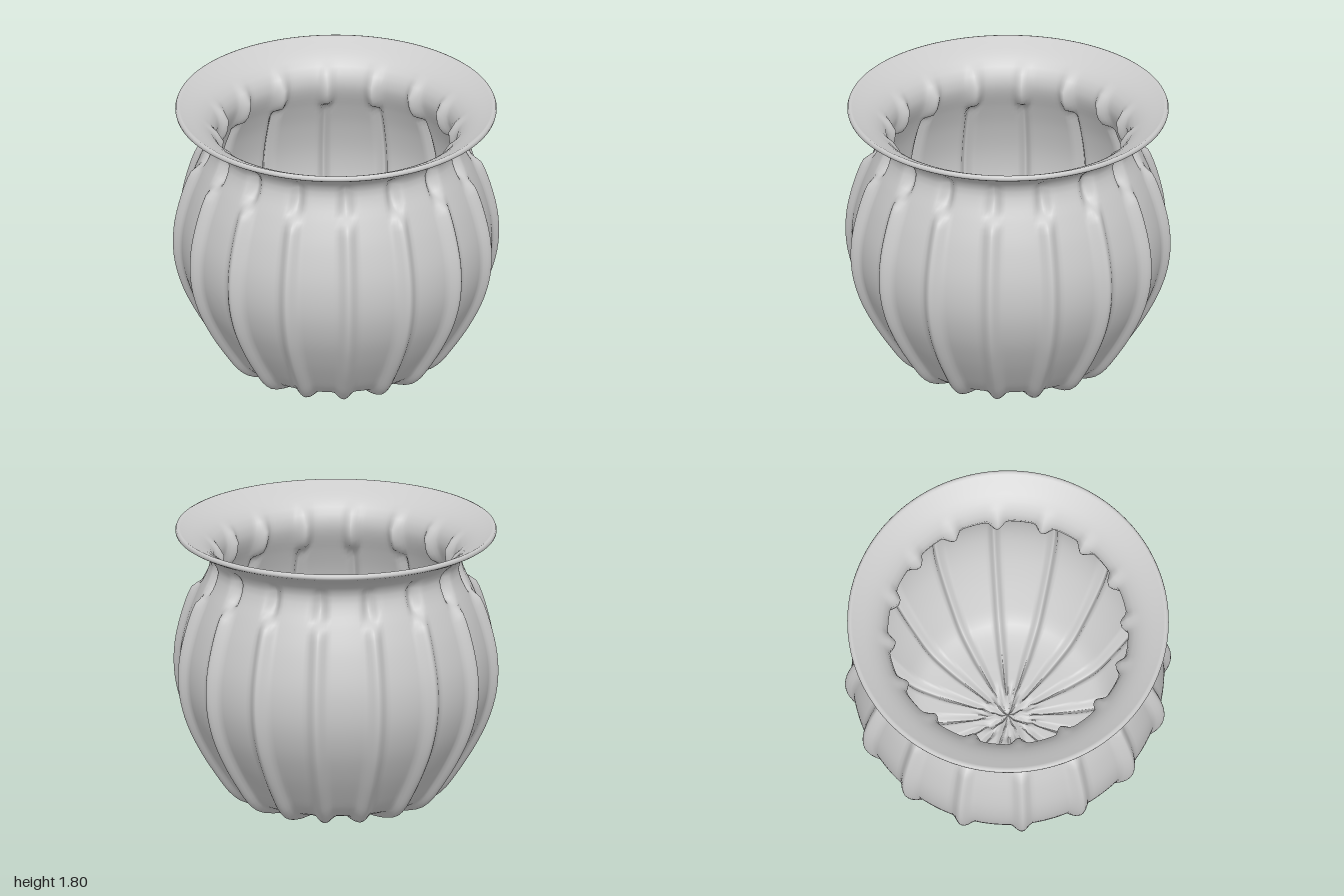
import * as THREE from 'three';

const RIBS = 16, PER_RIB = 18, WALL = 0.035, HEIGHT = 0.045;
const smooth = THREE.MathUtils.smoothstep;

// Radius and height of the panels between the ribs, from floor centre to lip
const PROFILE = [
  [0, 0.045], [0.15, 0.046], [0.32, 0.053], [0.48, 0.068], [0.59, 0.1], [0.65, 0.15],
  [0.71, 0.23], [0.83, 0.42], [0.92, 0.61], [0.967, 0.8], [0.967, 1.0], [0.915, 1.23],
  [0.85, 1.4], [0.8, 1.51], [0.782, 1.59], [0.81, 1.65], [0.87, 1.7], [0.985, 1.76],
];

// Ribs stand out on the body, pinch inward at the neck and fade under the lip
function ribHeight(y) {
  const pinch = smooth(y, 1.34, 1.5);
  return (HEIGHT * (1 - pinch) - 0.05 * pinch) * (1 - smooth(y, 1.56, 1.67));
}

const bump = (d, halfWidth) => (d >= halfWidth ? 0 : Math.cos((d / halfWidth) * Math.PI / 2) ** 1.5);

// Strength (0..1) of the rib pattern: radial ribs meeting a small woven grid at the centre
function ribPattern(r, t, angle, narrow) {
  const pitch = (r * Math.PI * 2) / RIBS;
  const radial = bump(Math.abs(t) * pitch, Math.min(0.065, pitch * 0.42) * narrow + 1e-6);
  const blend = smooth(r, 0.13, 0.2);
  if (blend === 1) return radial;
  const toLine = (c) => Math.abs(Math.abs(c) < 0.075 ? Math.abs(c) - 0.037 : Math.abs(c) - 0.112);
  const u = r * Math.cos(angle + 0.55), v = r * Math.sin(angle + 0.55);
  const grid = Math.max(bump(toLine(u), 0.03 * narrow), bump(toLine(v), 0.03 * narrow));
  return THREE.MathUtils.lerp(grid, radial, blend);
}

// Rows of the closed wall section: outside up, over the lip, inside down
function sectionRows() {
  const curve = new THREE.CatmullRomCurve3(PROFILE.map(([r, y]) => new THREE.Vector3(r, y, 0)), false, 'centripetal');
  const outer = [], inner = [];
  const steps = 62;
  for (let i = 0; i <= steps; i++) {
    const p = curve.getPointAt(i / steps), d = curve.getTangentAt(i / steps);
    const n = i === 0 ? { x: 0, y: -1 } : { x: d.y, y: -d.x };
    const amp = ribHeight(p.y);
    outer.push({ r: p.x, y: p.y, n, amp, narrow: 1 });
    inner.unshift({
      r: Math.max(0, p.x - n.x * WALL), y: p.y - n.y * WALL, n, amp,
      narrow: 0.55 + 0.45 * smooth(p.y, 1.3, 1.5),
    });
  }
  const lip = [[0.997, 1.768], [1, 1.78], [0.995, 1.794], [0.982, 1.798]]
    .map(([r, y]) => ({ r, y, n: { x: 1, y: 0 }, amp: 0, narrow: 1 }));
  return [...outer, ...lip, ...inner];
}

function potGeometry() {
  const rows = sectionRows(), segs = RIBS * PER_RIB, positions = [], index = [];
  for (const row of rows) {
    for (let j = 0; j < segs; j++) {
      // Columns crowd together around each rib
      const s = ((j % PER_RIB) / PER_RIB) * 2 - 1;
      const t = 0.5 * Math.sign(s) * Math.abs(s) ** 1.7;
      const angle = ((Math.floor(j / PER_RIB) + 0.5 + t) / RIBS) * Math.PI * 2;
      const push = row.amp * ribPattern(row.r, t, angle, row.narrow);
      const r = Math.max(0, row.r + row.n.x * push);
      positions.push(r * Math.sin(angle), row.y + row.n.y * push, r * Math.cos(angle));
    }
  }
  for (let i = 0; i < rows.length - 1; i++) {
    for (let j = 0; j < segs; j++) {
      const k = (j + 1) % segs;
      const a = i * segs + j, b = i * segs + k, c = a + segs, d = b + segs;
      index.push(a, b, d, a, d, c);
    }
  }
  const geometry = new THREE.BufferGeometry();
  geometry.setAttribute('position', new THREE.Float32BufferAttribute(positions, 3));
  geometry.setIndex(index);
  geometry.computeVertexNormals();
  return geometry;
}

export function createModel() {
  const group = new THREE.Group();
  group.name = 'ribbedPot';
  const pot = new THREE.Mesh(potGeometry(), new THREE.MeshStandardMaterial({ color: 0xcccccc }));
  pot.name = 'potBody';
  group.add(pot);
  return group;
}
